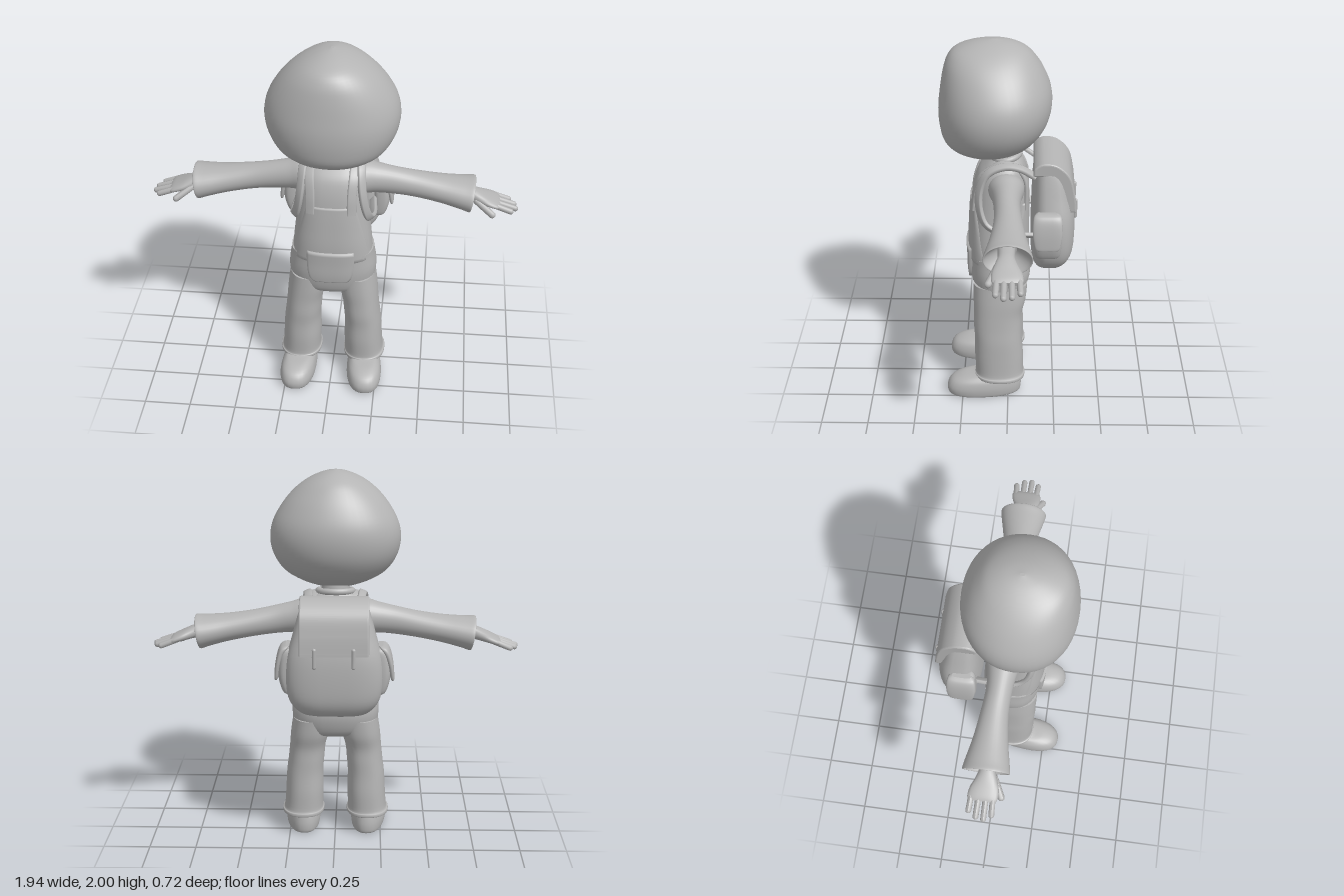
import * as THREE from 'three';

const grey = new THREE.MeshStandardMaterial({ color: 0xb4b4b4, side: THREE.DoubleSide });
grey.name = 'plain grey';
const V = (x, y, z) => new THREE.Vector3(x, y, z);

// Smoothly subdivide a list of number rows (Catmull-Rom on every column)
function refine(rows, k = 4) {
  const out = [], last = rows.length - 1;
  for (let i = 0; i < last; i++) {
    const [a, b, c, d] = [rows[Math.max(i - 1, 0)], rows[i], rows[i + 1], rows[Math.min(i + 2, last)]];
    for (let s = 0; s < k; s++) {
      const t = s / k;
      out.push(b.map((p, j) => p + 0.5 * t * (c[j] - a[j] + t * (2 * a[j] - 5 * p + 4 * c[j] - d[j] + t * (3 * (p - c[j]) + d[j] - a[j])))));
    }
  }
  out.push(rows[last]);
  return out;
}

// Skin closed rings of points, with flat end caps
function skin(rings) {
  const n = rings[0].length, pts = rings.flat(), index = [];
  for (let i = 0; i < rings.length - 1; i++) for (let j = 0; j < n; j++) {
    const a = i * n + j, b = i * n + (j + 1) % n;
    index.push(a, a + n, b, b, a + n, b + n);
  }
  [[rings[0], false], [rings[rings.length - 1], true]].forEach(([ring, end]) => {
    const base = pts.length;
    const mid = ring.reduce((s, p) => s.add(p), V(0, 0, 0)).divideScalar(n);
    pts.push(...ring, mid);
    for (let j = 0; j < n; j++) {
      const p = base + j, q = base + (j + 1) % n;
      index.push(base + n, end ? q : p, end ? p : q);
    }
  });
  const g = new THREE.BufferGeometry().setFromPoints(pts);
  g.setIndex(index);
  g.computeVertexNormals();
  return g;
}

const power = (v, p) => Math.sign(v) * Math.abs(v) ** (2 / p);

// Loft rows [along, centreU, centreV, radiusU, radiusV] up y (u=x, v=z) or along x (u=z, v=y)
function loft(rows, p = 2, axis = 'y', n = 32) {
  return skin(refine(rows).map(([t, cu, cv, ru, rv]) => Array.from({ length: n }, (_, j) => {
    const a = j / n * Math.PI * 2;
    const u = cu + ru * power(Math.cos(a), p), v = cv + rv * power(Math.sin(a), p);
    return axis === 'y' ? V(u, t, v) : V(t, v, u);
  })));
}

// Flat webbing swept along a path, its thin side facing away from the body core
function ribbon(points, width, thick) {
  const curve = new THREE.CatmullRomCurve3(points), core = V(0.07, 1.15, 0.04), rings = [];
  for (let i = 0; i <= 40; i++) {
    const c = curve.getPointAt(i / 40), T = curve.getTangentAt(i / 40);
    const N = c.clone().sub(core);
    N.addScaledVector(T, -N.dot(T)).normalize();
    const B = T.clone().cross(N);
    rings.push(Array.from({ length: 12 }, (_, j) => {
      const a = j / 12 * Math.PI * 2;
      return c.clone().addScaledVector(B, power(Math.cos(a), 4) * width / 2).addScaledVector(N, power(Math.sin(a), 4) * thick / 2);
    }));
  }
  return skin(rings);
}

// Rounded rod between two points
function rod(r, a, b) {
  const d = b.clone().sub(a), g = new THREE.CapsuleGeometry(r, d.length(), 4, 10);
  g.applyQuaternion(new THREE.Quaternion().setFromUnitVectors(V(0, 1, 0), d.normalize()));
  const m = a.clone().add(b).multiplyScalar(0.5);
  return g.translate(m.x, m.y, m.z);
}

// Mirrored copy across x with the winding kept right
function flipX(g) {
  const m = g.clone().scale(-1, 1, 1), ix = m.index.array;
  for (let i = 0; i < ix.length; i += 3) [ix[i], ix[i + 1]] = [ix[i + 1], ix[i]];
  m.computeVertexNormals();
  return m;
}

// Trunk sections: height, x, z centre, half width, half depth
const TRUNK_P = 2.5;
const trunk = [
  [0.565, 0, 0.05, 0.09, 0.08], [0.6, 0, 0.045, 0.2, 0.13], [0.7, 0, 0.042, 0.228, 0.156], [0.8, 0, 0.05, 0.217, 0.152],
  [0.9, 0, 0.052, 0.207, 0.154], [1.0, 0, 0.05, 0.196, 0.152], [1.1, 0, 0.046, 0.187, 0.15], [1.2, 0, 0.04, 0.18, 0.145],
  [1.28, 0, 0.032, 0.172, 0.128], [1.33, 0, 0.02, 0.155, 0.1], [1.36, 0, 0.012, 0.115, 0.075], [1.375, 0, 0.01, 0.07, 0.06],
];
const fine = refine(trunk, 6);
function onTrunk(x, y, side = 1, off = 0.006) {
  const i = Math.max(1, fine.findIndex(r => r[0] >= y)), a = fine[i - 1], b = fine[i];
  const [, , cz, rx, rz] = a.map((v, j) => THREE.MathUtils.lerp(v, b[j], (y - a[0]) / (b[0] - a[0])));
  const f = Math.max(0, 1 - Math.min(1, Math.abs(x / rx)) ** TRUNK_P) ** (1 / TRUNK_P);
  return V(x, y, cz + side * (rz * f + off));
}

// Cloth panel lying on the trunk, rows [height, half width], edges tucked in
function panel(rows, off, side = 1) {
  const r = refine(rows, 3), n = 25, pts = [], index = [];
  r.unshift([...r[0]]);
  r.push([...r[r.length - 1]]);
  r.forEach(([y, w], i) => {
    for (let j = 0; j < n; j++) {
      const edge = i === 0 || i === r.length - 1 || j === 0 || j === n - 1;
      const u = THREE.MathUtils.clamp((j - 1) / (n - 3) * 2 - 1, -1, 1);
      pts.push(onTrunk(u * w, y, side, edge ? -0.004 : off));
      if (i && j) {
        const d = i * n + j, c = d - 1, b = d - n, a = b - 1;
        index.push(...(side > 0 ? [a, b, c, b, d, c] : [a, c, b, b, c, d]));
      }
    }
  });
  const g = new THREE.BufferGeometry().setFromPoints(pts);
  g.setIndex(index);
  g.computeVertexNormals();
  return g;
}

export function createModel() {
  const model = new THREE.Group();
  const add = (name, g) => {
    const m = new THREE.Mesh(g, grey);
    m.name = name;
    model.add(m);
  };
  const pair = (name, g) => { add('left ' + name, g); add('right ' + name, flipX(g)); };

  // Head and neck
  add('head', loft([
    [1.385, 0, 0.08, 0.05, 0.06], [1.4, 0, 0.09, 0.12, 0.11], [1.43, 0, 0.1, 0.2, 0.18], [1.48, 0, 0.095, 0.275, 0.238],
    [1.56, 0, 0.078, 0.325, 0.275], [1.65, 0, 0.068, 0.343, 0.289], [1.74, 0, 0.065, 0.326, 0.282], [1.83, 0, 0.074, 0.275, 0.258],
    [1.9, 0, 0.085, 0.213, 0.226], [1.95, 0, 0.088, 0.145, 0.182], [1.985, 0, 0.078, 0.07, 0.1], [2.0, 0, 0.072, 0.008, 0.012],
  ], 2.1, 'y', 48));
  add('neck', loft([[1.33, 0, 0.01, 0.09, 0.075], [1.37, 0, 0.012, 0.075, 0.066], [1.43, 0, 0.02, 0.075, 0.068]]));
  add('collar', new THREE.TorusGeometry(0.085, 0.017, 10, 32).scale(1.05, 0.85, 1).rotateX(Math.PI / 2 + 0.12).translate(0, 1.372, 0.012));

  // Shirt, overalls and pocket
  add('shirt', loft(trunk.slice(3), TRUNK_P));
  add('overalls seat', loft([...trunk.slice(0, 4), [0.83, 0, 0.051, 0.214, 0.153]].map(([y, x, z, a, b]) => [y, x, z, a + 0.007, b + 0.006]), TRUNK_P));
  const bib = [[0.8, 0.205], [0.88, 0.188], [0.96, 0.172], [1.04, 0.152], [1.1, 0.137], [1.14, 0.13]];
  add('front bib', panel(bib, 0.009));
  add('back bib', panel(bib, 0.009, -1));
  add('front pocket', panel([[0.68, 0.085], [0.7, 0.108], [0.74, 0.12], [0.8, 0.125], [0.87, 0.125]], 0.021));
  pair('overalls strap', ribbon([
    onTrunk(0.108, 1.1), onTrunk(0.108, 1.2), onTrunk(0.114, 1.29), V(0.116, 1.345, 0.07), V(0.112, 1.366, 0.015),
    V(0.106, 1.345, -0.04), onTrunk(0.1, 1.27, -1), onTrunk(0.1, 1.1, -1),
  ], 0.05, 0.018));

  // Trouser legs with a rolled hem
  pair('trouser leg', loft([
    [0.125, 0.176, 0.045, 0.09, 0.11], [0.108, 0.177, 0.045, 0.112, 0.134], [0.125, 0.177, 0.046, 0.115, 0.137],
    [0.14, 0.175, 0.047, 0.106, 0.13], [0.24, 0.17, 0.05, 0.104, 0.132], [0.34, 0.168, 0.053, 0.1, 0.128],
    [0.42, 0.16, 0.056, 0.098, 0.13], [0.5, 0.152, 0.055, 0.098, 0.13], [0.58, 0.138, 0.046, 0.105, 0.141], [0.67, 0.126, 0.042, 0.104, 0.145],
  ], 2.3));

  // Shoes, narrower at the heel and splayed a little
  const shoe = loft([
    [0, 0, 0.13, 0.09, 0.185], [0.012, 0, 0.132, 0.1, 0.2], [0.05, 0, 0.132, 0.104, 0.203], [0.09, 0, 0.122, 0.096, 0.188],
    [0.115, 0, 0.095, 0.08, 0.155], [0.128, 0, 0.055, 0.072, 0.112], [0.16, 0, 0.04, 0.07, 0.085],
  ], 2.4);
  const sp = shoe.attributes.position;
  for (let i = 0; i < sp.count; i++) sp.setX(i, sp.getX(i) * (0.87 + 0.4 * sp.getZ(i)) + 0.175 + 0.06 * sp.getZ(i));
  shoe.computeVertexNormals();
  pair('shoe', shoe);

  // Sleeves and hands, sloping gently down from the shoulder
  const arm = (name, g) => pair(name, g.rotateZ(-0.16).translate(0.15, 1.243, 0));
  arm('sleeve', loft([
    [-0.07, 0.01, -0.02, 0.08, 0.075], [0, 0.01, -0.008, 0.095, 0.095], [0.07, 0.006, -0.002, 0.078, 0.083], [0.16, 0.003, 0, 0.068, 0.075],
    [0.28, -0.004, 0, 0.072, 0.07], [0.42, -0.006, 0, 0.09, 0.073], [0.53, -0.007, 0, 0.113, 0.083], [0.578, -0.007, 0, 0.122, 0.091],
    [0.584, -0.007, 0, 0.116, 0.085], [0.565, -0.007, 0, 0.105, 0.074], [0.5, -0.005, 0, 0.045, 0.045],
  ], 2, 'x'));
  arm('palm', loft([
    [0.48, 0, 0, 0.045, 0.038], [0.57, 0, 0.005, 0.042, 0.036], [0.62, 0, 0, 0.056, 0.032], [0.67, -0.004, -0.008, 0.074, 0.025],
    [0.715, -0.008, -0.016, 0.077, 0.019], [0.735, -0.008, -0.018, 0.066, 0.01],
  ], 2.3, 'x', 20));
  [[-0.07, 0.785], [-0.03, 0.812], [0.01, 0.82], [0.048, 0.795]].forEach(([z, end], i) =>
    arm('finger ' + (i + 1), rod(0.0155, V(0.7, -0.015, z * 0.92), V(end, -0.032, z))));
  arm('thumb', rod(0.018, V(0.61, -0.012, 0.04), V(0.7, -0.05, 0.085)));

  // Backpack body, flap and buckle tabs
  add('backpack', loft([
    [0.762, 0, -0.21, 0.12, 0.045], [0.785, 0, -0.218, 0.18, 0.085], [0.85, 0, -0.23, 0.232, 0.11], [0.95, 0, -0.234, 0.252, 0.117],
    [1.08, 0, -0.234, 0.246, 0.114], [1.2, 0, -0.226, 0.215, 0.102], [1.3, 0, -0.22, 0.188, 0.09], [1.35, 0, -0.212, 0.17, 0.07], [1.378, 0, -0.205, 0.14, 0.035],
  ], 3, 'y', 40));
  const flap = new THREE.Shape();
  flap.moveTo(0.14, 1.33);
  flap.splineThru([[0.145, 1.36], [0.185, 1.383], [0.25, 1.373], [0.31, 1.315], [0.335, 1.22], [0.346, 1.125]].map(p => new THREE.Vector2(...p)));
  flap.lineTo(0.325, 1.125);
  flap.lineTo(0.27, 1.28);
  flap.lineTo(0.2, 1.33);
  const flapGeo = new THREE.ExtrudeGeometry(flap, { depth: 0.34, bevelSize: 0.009, bevelThickness: 0.009, bevelSegments: 3, curveSegments: 24 });
  add('backpack flap', flapGeo.translate(0, 0, -0.17).rotateY(Math.PI / 2));
  pair('buckle tab', rod(0.011, V(0.1, 1.15, -0.352), V(0.1, 1.06, -0.35)));

  // Side pockets with hanging lids
  pair('side pocket', loft([
    [0.88, 0.225, -0.205, 0.02, 0.045], [0.9, 0.235, -0.205, 0.035, 0.066], [0.98, 0.245, -0.205, 0.046, 0.075],
    [1.08, 0.24, -0.205, 0.046, 0.074], [1.125, 0.232, -0.205, 0.04, 0.066], [1.138, 0.22, -0.205, 0.025, 0.045],
  ], 3));
  pair('side pocket lid', loft([
    [0.96, 0.302, -0.205, 0.007, 0.05], [0.975, 0.3, -0.205, 0.011, 0.064], [1.04, 0.292, -0.205, 0.014, 0.075],
    [1.1, 0.276, -0.205, 0.018, 0.076], [1.135, 0.255, -0.205, 0.022, 0.07], [1.146, 0.24, -0.205, 0.012, 0.05],
  ], 3));

  // Shoulder straps running under the arms to the backpack
  pair('backpack strap', ribbon([
    V(0.13, 1.3, -0.14), V(0.138, 1.35, -0.06), V(0.145, 1.362, 0.02), V(0.152, 1.325, 0.105), V(0.16, 1.23, 0.148),
    V(0.175, 1.13, 0.148), V(0.195, 1.05, 0.115), V(0.21, 1.01, 0.03), V(0.2, 0.995, -0.14),
  ], 0.045, 0.024));

  return model;
}
